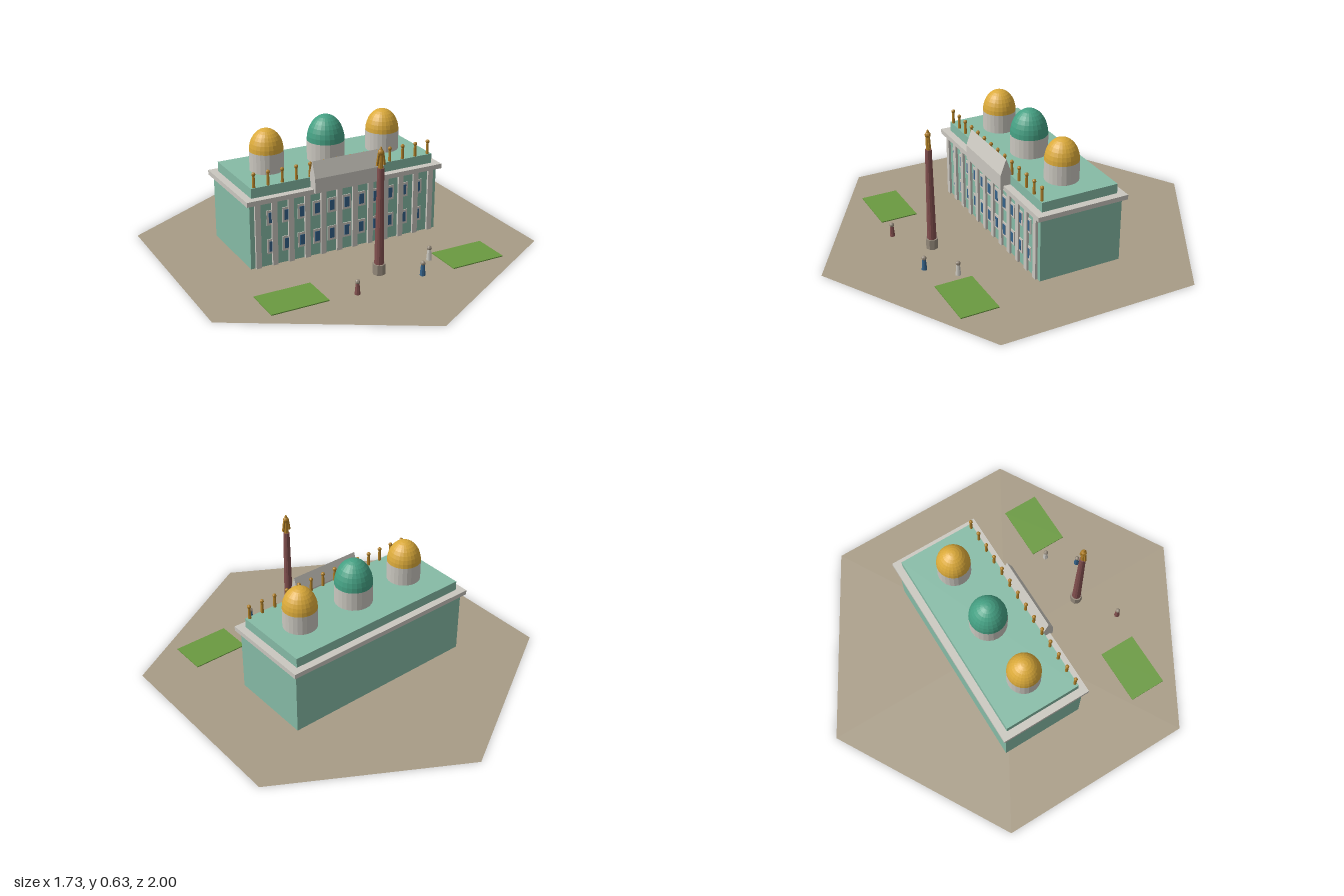
import * as THREE from 'three';

const mat = (name, color, extra = {}) => {
  const m = new THREE.MeshStandardMaterial({ color, ...extra });
  m.name = name;
  return m;
};

export function createModel() {
  const root = new THREE.Group();
  root.name = 'palaceSquare';
  const flat = { flatShading: true };
  const paving = mat('paving', 0xa89c86, { side: THREE.DoubleSide });
  const wall = mat('wallGreen', 0x86bba6);
  const trim = mat('trimStone', 0xcac7bf, flat);
  const domeGreen = mat('domeGreen', 0x45a083, flat);
  const gold = mat('gold', 0xdbaa3a, flat);
  const bronze = mat('bronze', 0xb07f28, flat);
  const granite = mat('redGranite', 0x83504f, flat);
  const blue = mat('blue', 0x34628a, flat);
  const grass = mat('grass', 0x6a9a40);
  const stone = mat('greyStone', 0x968b7c, flat);

  const add = (parent, name, geometry, material, x, y, z) => {
    const m = new THREE.Mesh(geometry, material);
    m.name = name;
    m.position.set(x, y, z);
    parent.add(m);
    return m;
  };
  const group = (name, x = 0, y = 0, z = 0) => {
    const g = new THREE.Group();
    g.name = name;
    g.position.set(x, y, z);
    root.add(g);
    return g;
  };
  // Box and cylinder placed by the height of their base
  const box = (p, name, m, w, h, d, x, y, z) =>
    add(p, name, new THREE.BoxGeometry(w, h, d), m, x, y + h / 2, z);
  const post = (p, name, m, rTop, rBottom, h, x, y, z, sides = 8) =>
    add(p, name, new THREE.CylinderGeometry(rTop, rBottom, h, sides), m, x, y + h / 2, z);

  // Hexagonal square and lawns
  const hex = new THREE.CircleGeometry(1, 6, Math.PI / 2).rotateX(-Math.PI / 2);
  add(root, 'ground', hex, paving, 0, 0, 0);
  for (const s of [-1, 1]) box(root, 'lawn', grass, 0.285, 0.005, 0.19, s * 0.475, 0.001, 0.475);

  // Palace body, cornice and attic
  const palace = group('palace');
  box(palace, 'walls', wall, 1.026, 0.33, 0.432, 0, 0, -0.097);
  box(palace, 'cornice', trim, 1.066, 0.024, 0.474, 0, 0.329, -0.097);
  box(palace, 'attic', wall, 0.99, 0.05, 0.4, 0, 0.352, -0.097);

  // Pilasters along the front
  for (let i = 0; i < 12; i++) {
    box(palace, 'pilaster', trim, 0.028, 0.33, 0.014, (i - 5.5) * 0.0865, 0, 0.124);
  }

  // Two rows of framed windows
  for (let i = -5; i <= 5; i++) {
    for (const y of [0.099, 0.247]) {
      box(palace, 'windowFrame', trim, 0.046, 0.076, 0.008, i * 0.081, y - 0.038, 0.1195);
      box(palace, 'windowPane', blue, 0.025, 0.052, 0.004, i * 0.081, y - 0.026, 0.1235);
    }
  }

  // Gabled block over the centre, its ridge running along x
  const gable = new THREE.Shape([
    [-0.155, 0.336], [-0.096, 0.336], [-0.096, 0.41], [-0.125, 0.49], [-0.155, 0.41],
  ].map(([x, y]) => new THREE.Vector2(x, y)));
  const gableGeo = new THREE.ExtrudeGeometry(gable, { depth: 0.376, bevelEnabled: false });
  gableGeo.translate(0, 0, -0.188).rotateY(Math.PI / 2);
  add(palace, 'centralGable', gableGeo, trim, 0, 0, 0);

  // Domes on drums
  const dome = (name, x, r, h, material) => {
    const g = group(name, x, 0.4, -0.097);
    post(g, 'drum', trim, r, r, 0.1, 0, 0, 0, 24);
    const cap = new THREE.SphereGeometry(r, 24, 8, 0, Math.PI * 2, 0, Math.PI / 2);
    add(g, 'cap', cap.scale(1, h / r, 1), material, 0, 0.1, 0);
  };
  dome('centralDome', 0, 0.094, 0.129, domeGreen);
  for (const s of [-1, 1]) dome('sideDome', s * 0.322, 0.084, 0.109, gold);

  // Row of roof statues
  for (let i = 0; i < 14; i++) {
    const g = group('roofStatue', (i - 6.5) * 0.0732, 0.4, 0.093);
    post(g, 'statueBody', bronze, 0.006, 0.008, 0.064, 0, 0, 0);
    add(g, 'statueHead', new THREE.SphereGeometry(0.01, 8, 6), bronze, 0, 0.067, 0);
  }

  // Monument column with a winged figure
  const column = group('monument', 0, 0, 0.437);
  post(column, 'pedestal', stone, 0.031, 0.031, 0.052, 0, 0, 0, 8);
  post(column, 'shaft', granite, 0.016, 0.023, 0.478, 0, 0.052, 0, 12);
  post(column, 'figureBody', bronze, 0.009, 0.012, 0.065, 0, 0.53, 0);
  add(column, 'figureHead', new THREE.SphereGeometry(0.015, 8, 6), bronze, 0, 0.605, 0);
  post(column, 'figureTip', bronze, 0.003, 0.009, 0.016, 0, 0.615, 0);
  for (const s of [-1, 1]) {
    box(column, 'wing', bronze, 0.009, 0.06, 0.009, s * 0.015, 0.543, 0).rotation.z = s * 0.15;
  }

  // Standing people
  const people = [[-0.19, 0.57, granite], [0.17, 0.551, blue], [0.285, 0.428, trim]];
  for (const [x, z, coat] of people) {
    const g = group('person', x, 0, z);
    post(g, 'coat', coat, 0.009, 0.014, 0.055, 0, 0, 0);
    add(g, 'head', new THREE.SphereGeometry(0.012, 8, 6), stone, 0, 0.062, 0);
  }
  return root;
}
